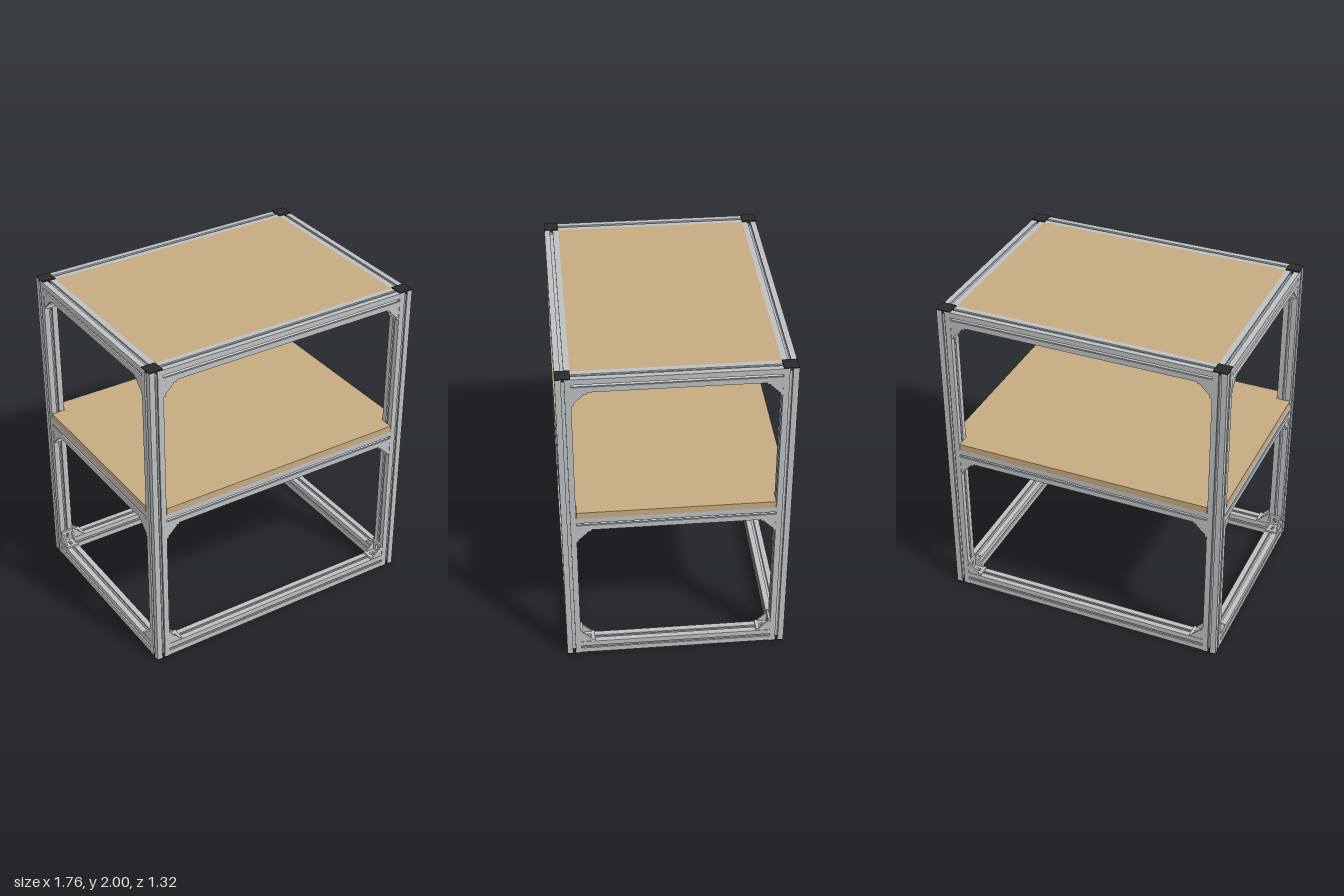
import * as THREE from 'three';

const metal = new THREE.MeshStandardMaterial({ color: 0xbcbfc2 });
metal.name = 'aluminium';
const wood = new THREE.MeshStandardMaterial({ color: 0xc6aa80 });
wood.name = 'wood board';
const black = new THREE.MeshStandardMaterial({ color: 0x2a2a2a });
black.name = 'black plastic';

const W = 0.085, H = W / 2;      // profile width
const X = 0.8375, Z = 0.6175;    // post centres
const CAP = 0.006, TOP = 2;
const SLOT = 0.0087;             // half width of slot opening

function mesh(name, geometry, material) {
  const m = new THREE.Mesh(geometry, material);
  m.name = name;
  return m;
}

const toShape = pts => new THREE.Shape(pts.map(p => new THREE.Vector2(p[0], p[1])));

// T-slot profile, extruded along z and centred
function profileGeometry(length) {
  const lip = H - 0.0096, t = 0.021, core = 0.0165;
  const quarter = [
    [H, SLOT], [H, H], [SLOT, H], [SLOT, lip], [t, lip], [t, 0.0285],
    [SLOT, core], [-SLOT, core], [-t, 0.0285], [-t, lip], [-SLOT, lip],
  ];
  const pts = [];
  for (let k = 0; k < 4; k++) {
    const c = Math.round(Math.cos(k * Math.PI / 2)), s = Math.round(Math.sin(k * Math.PI / 2));
    for (const [x, y] of quarter) pts.push([x * c - y * s, x * s + y * c]);
  }
  const g = new THREE.ExtrudeGeometry(toShape(pts), { depth: length, bevelEnabled: false });
  return g.translate(0, 0, -length / 2);
}

// Corner bracket with legs along +x and +y
const LEG = 0.086, T = 0.013, BW = 0.08;
function flangeGeometry() {
  const h = BW / 2;
  const s = toShape([[0, -h], [LEG, -h], [LEG, h], [0, h]]);
  const hole = new THREE.Path();
  hole.absarc(0.056, 0, 0.01, -Math.PI / 2, Math.PI / 2, false);
  hole.absarc(0.04, 0, 0.01, Math.PI / 2, Math.PI * 1.5, false);
  s.holes.push(hole);
  return new THREE.ExtrudeGeometry(s, { depth: T, bevelEnabled: false, curveSegments: 6 });
}
const railFlange = flangeGeometry().rotateX(-Math.PI / 2);
const postFlange = railFlange.clone().rotateY(Math.PI).rotateZ(-Math.PI / 2);
const gusset = new THREE.ExtrudeGeometry(
  toShape([[T, T], [0.067, T], [0.067, 0.018], [0.018, 0.067], [T, 0.067]]),
  { depth: 0.01, bevelEnabled: false });

function bracket() {
  const g = new THREE.Group();
  g.name = 'cornerBracket';
  g.add(mesh('railFlange', railFlange, metal), mesh('postFlange', postFlange, metal));
  for (const z of [-BW / 2, BW / 2 - 0.01]) {
    const m = mesh('gusset', gusset, metal);
    m.position.z = z;
    g.add(m);
  }
  return g;
}

// One rail along x with a bracket at each end, above (up = 1) or below it (up = -1)
function railUnit(name, geometry, length, up) {
  const g = new THREE.Group();
  g.name = name;
  const rail = mesh('rail', geometry, metal);
  rail.rotation.y = Math.PI / 2;
  g.add(rail);
  for (const side of [-1, 1]) {
    const b = bracket();
    b.position.set(side * length / 2, up * H, 0);
    if (up > 0) b.rotation.z = side > 0 ? Math.PI / 2 : 0;
    else b.rotation.z = side > 0 ? Math.PI : -Math.PI / 2;
    g.add(b);
  }
  return g;
}

// End cap with four prongs that fill the slot ends
function endCap(up) {
  const g = new THREE.Group();
  g.name = 'endCap';
  g.add(mesh('capPlate', new THREE.BoxGeometry(W, CAP, W), black));
  for (let k = 0; k < 4; k++) {
    const a = k * Math.PI / 2;
    const p = mesh('capProng', new THREE.BoxGeometry(SLOT * 2, 0.014, 0.02), black);
    p.rotation.y = a;
    p.position.set(Math.sin(a) * 0.0295, -up * (CAP / 2 + 0.007), Math.cos(a) * 0.0295);
    g.add(p);
  }
  return g;
}

export function createModel() {
  const model = new THREE.Group();
  model.name = 'shelfFrame';

  // Corner posts and their caps
  const postGeo = profileGeometry(TOP - 2 * CAP).rotateX(-Math.PI / 2);
  for (const sx of [-1, 1]) for (const sz of [-1, 1]) {
    const post = mesh('cornerPost', postGeo, metal);
    post.position.set(sx * X, TOP / 2, sz * Z);
    const top = endCap(1), bottom = endCap(-1);
    top.position.set(sx * X, TOP - CAP / 2, sz * Z);
    bottom.position.set(sx * X, CAP / 2, sz * Z);
    model.add(post, top, bottom);
  }

  // Three levels of rails
  const lenX = 2 * X - W, lenZ = 2 * Z - W;
  const geoX = profileGeometry(lenX), geoZ = profileGeometry(lenZ);
  const levels = [['bottom', CAP + H, 1], ['middle', 1.0025, -1], ['top', TOP - CAP - H, -1]];
  for (const [level, y, up] of levels) for (const s of [-1, 1]) {
    const long = railUnit(level + 'LongRail', geoX, lenX, up);
    long.position.set(0, y, s * Z);
    const short = railUnit(level + 'ShortRail', geoZ, lenZ, up);
    short.rotation.y = Math.PI / 2;
    short.position.set(s * X, y, 0);
    model.add(long, short);
  }

  // Middle shelf on the rails, notched around the posts
  const ox = X + H, oz = Z + H, ix = X - H - 0.003, iz = Z - H - 0.003;
  const shelfGeo = new THREE.ExtrudeGeometry(toShape([
    [ix, -oz], [ix, -iz], [ox, -iz], [ox, iz], [ix, iz], [ix, oz],
    [-ix, oz], [-ix, iz], [-ox, iz], [-ox, -iz], [-ix, -iz], [-ix, -oz],
  ]), { depth: 0.041, bevelEnabled: false }).rotateX(-Math.PI / 2);
  const shelf = mesh('middleShelf', shelfGeo, wood);
  shelf.position.y = 1.045;
  model.add(shelf);

  // Top panel set flush between the top rails
  const panel = mesh('topPanel', new THREE.BoxGeometry(lenX, 0.041, lenZ), wood);
  panel.position.y = TOP - CAP - 0.0205;
  model.add(panel);

  return model;
}
